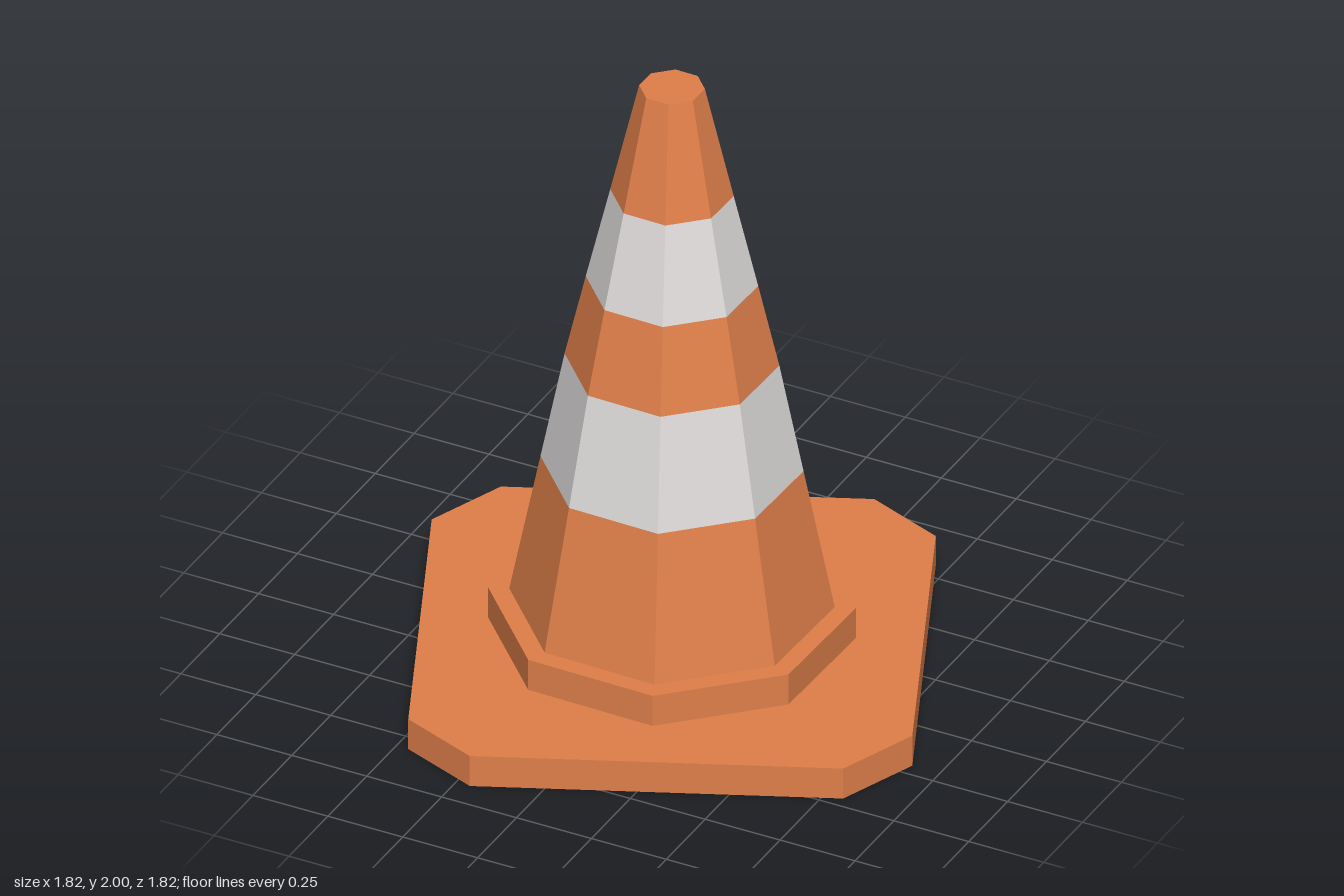
import * as THREE from 'three';

export function createModel() {
  const model = new THREE.Group();
  model.name = 'trafficCone';

  const orange = new THREE.MeshStandardMaterial({ color: 0xe07f4a });
  orange.name = 'orange';
  const paleGrey = new THREE.MeshStandardMaterial({ color: 0xdedada });
  paleGrey.name = 'pale grey';

  const add = (name, geometry, material) => {
    const mesh = new THREE.Mesh(geometry, material);
    mesh.name = name;
    model.add(mesh);
  };

  // Eight-sided faceted section between two heights
  const octagon = (y0, y1, r0, r1, turn, open) => {
    const start = THREE.MathUtils.degToRad(turn);
    const geometry = new THREE.CylinderGeometry(r1, r0, y1 - y0, 8, 1, open, start).toNonIndexed();
    geometry.translate(0, (y0 + y1) / 2, 0);
    geometry.computeVertexNormals();
    return geometry;
  };

  // Base plate: turned square with clipped corners, one corner repeated four times
  const corners = [];
  for (let i = 0; i < 4; i++) {
    for (const [x, y] of [[0.46, 0.81], [0.204, 0.908]]) {
      corners.push(new THREE.Vector2(x, y).rotateAround(new THREE.Vector2(), i * Math.PI / 2));
    }
  }
  const plate = new THREE.ExtrudeGeometry(new THREE.Shape(corners), { depth: 0.105, bevelEnabled: false });
  plate.rotateX(-Math.PI / 2);
  add('basePlate', plate, orange);

  // Collar under the cone
  add('collar', octagon(0.1, 0.21, 0.548, 0.548, 21.4, false), orange);

  // Cone body in alternating bands: height and radius of each ring
  const rings = [[0.21, 0.485], [0.68, 0.392], [1.045, 0.32], [1.32, 0.257], [1.63, 0.184], [2, 0.098]];
  const names = ['lowerCone', 'lowerStripe', 'middleCone', 'upperStripe', 'upperCone'];
  names.forEach((name, i) => {
    const [y0, r0] = rings[i];
    const [y1, r1] = rings[i + 1];
    add(name, octagon(y0, y1, r0, r1, 21.3, i < 4), i % 2 ? paleGrey : orange);
  });

  return model;
}
